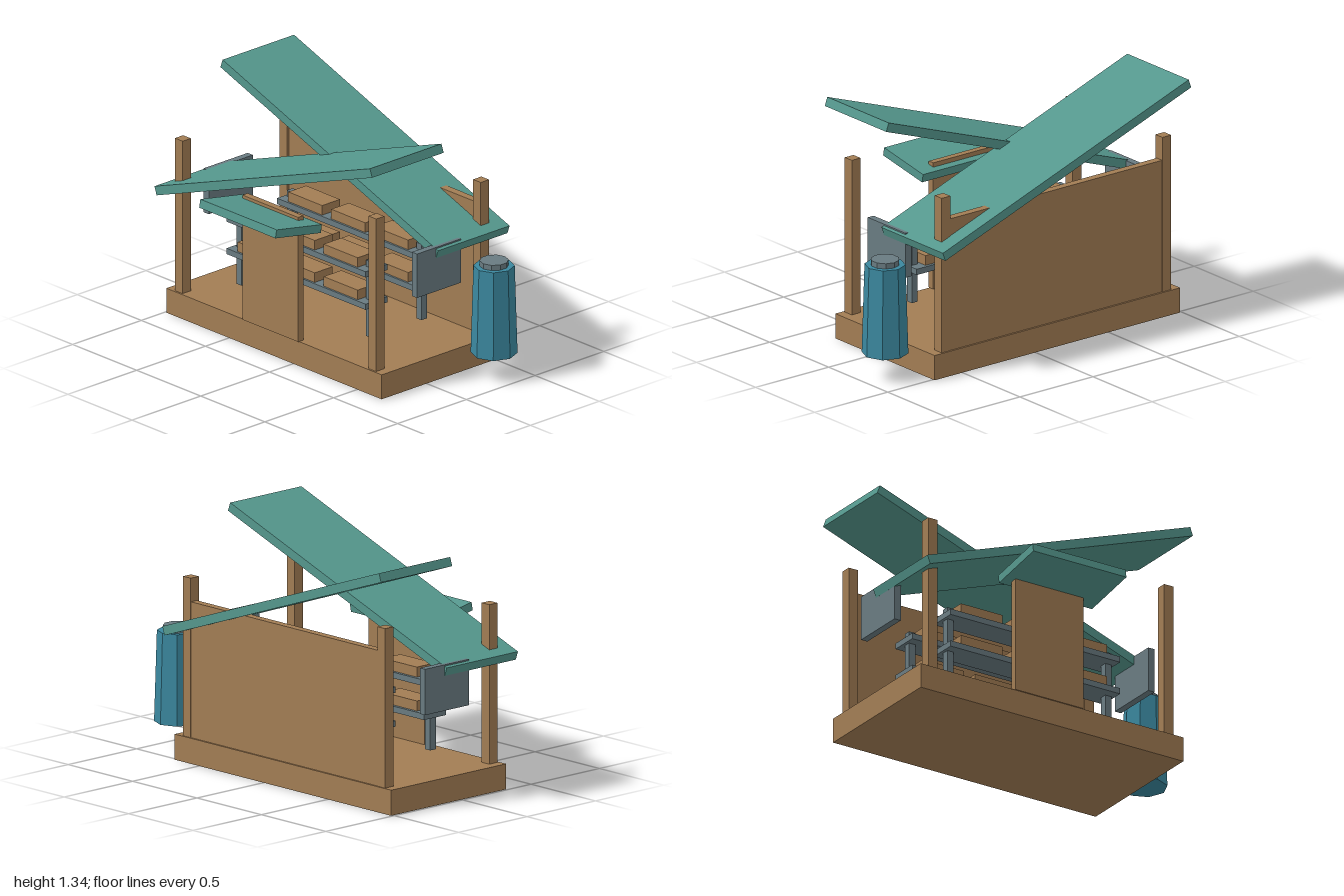
import * as THREE from 'three';

const mat = (color) => new THREE.MeshStandardMaterial({ color, flatShading: true });

export function createModel() {
  const group = new THREE.Group();
  const wood = mat(0xa27d54), teal = mat(0x55978d), grey = mat(0x697b81), blue = mat(0x3b889f);
  const CX = -0.15; // centre line of the stall

  const add = (name, geometry, material, x, y, z, parent = group) => {
    const mesh = new THREE.Mesh(geometry, material);
    mesh.name = name;
    mesh.position.set(x, y, z);
    parent.add(mesh);
    return mesh;
  };
  const box = (name, material, w, h, d, x, y, z, parent) =>
    add(name, new THREE.BoxGeometry(w, h, d), material, x, y, z, parent);

  // Platform, back wall and front panel
  box('platform', wood, 1.68, 0.14, 0.84, CX, 0.07, -0.093);
  box('backWall', wood, 1.46, 0.745, 0.045, CX, 0.5125, -0.48);
  box('frontPanel', wood, 0.435, 0.715, 0.038, -0.172, 0.4975, 0.315);

  // Corner posts and hanging side plates
  for (const side of [-1, 1]) {
    for (const z of [0.286, -0.475]) {
      box('cornerPost', wood, 0.06, 0.875, 0.06, CX + side * 0.755, 0.5775, z);
    }
    box('sidePlate', grey, 0.04, 0.252, 0.32, CX + side * 0.812, 0.632, -0.097);
  }

  // Crossing roof panels
  const tilt = 0.342;
  box('backRoofPanel', teal, 1.785, 0.05, 0.52, CX, 1.02, -0.335).rotation.z = -tilt;
  box('frontRoofPanel', teal, 1.785, 0.05, 0.52, CX, 1.02, 0.145).rotation.z = tilt;

  // Small awning tilted up over the front panel
  box('awning', teal, 0.595, 0.047, 0.335, CX, 0.83, 0.425).rotation.x = -0.18;

  // Two racks with two shelves each, loaded with crates
  for (const z of [0.087, -0.28]) {
    const rack = new THREE.Group();
    rack.name = 'rack';
    rack.position.set(CX, 0, z);
    group.add(rack);
    for (const side of [-1, 1]) {
      box('rackUpright', grey, 0.04, 0.435, 0.042, side * 0.505, 0.4175, 0.003, rack);
    }
    for (const y of [0.397, 0.583]) {
      box('shelf', grey, 1.085, 0.033, 0.16, 0, y, 0, rack);
      for (const i of [-1, 0, 1]) {
        box('crate', wood, 0.265, 0.055, 0.13, i * 0.335, y + 0.044, 0.003, rack);
      }
    }
  }

  // Tapered barrel with lid
  add('barrel', new THREE.CylinderGeometry(0.11, 0.125, 0.5, 8), blue, 0.873, 0.395, -0.32);
  add('barrelLid', new THREE.CylinderGeometry(0.078, 0.078, 0.03, 10), grey, 0.873, 0.66, -0.32);

  return group;
}
